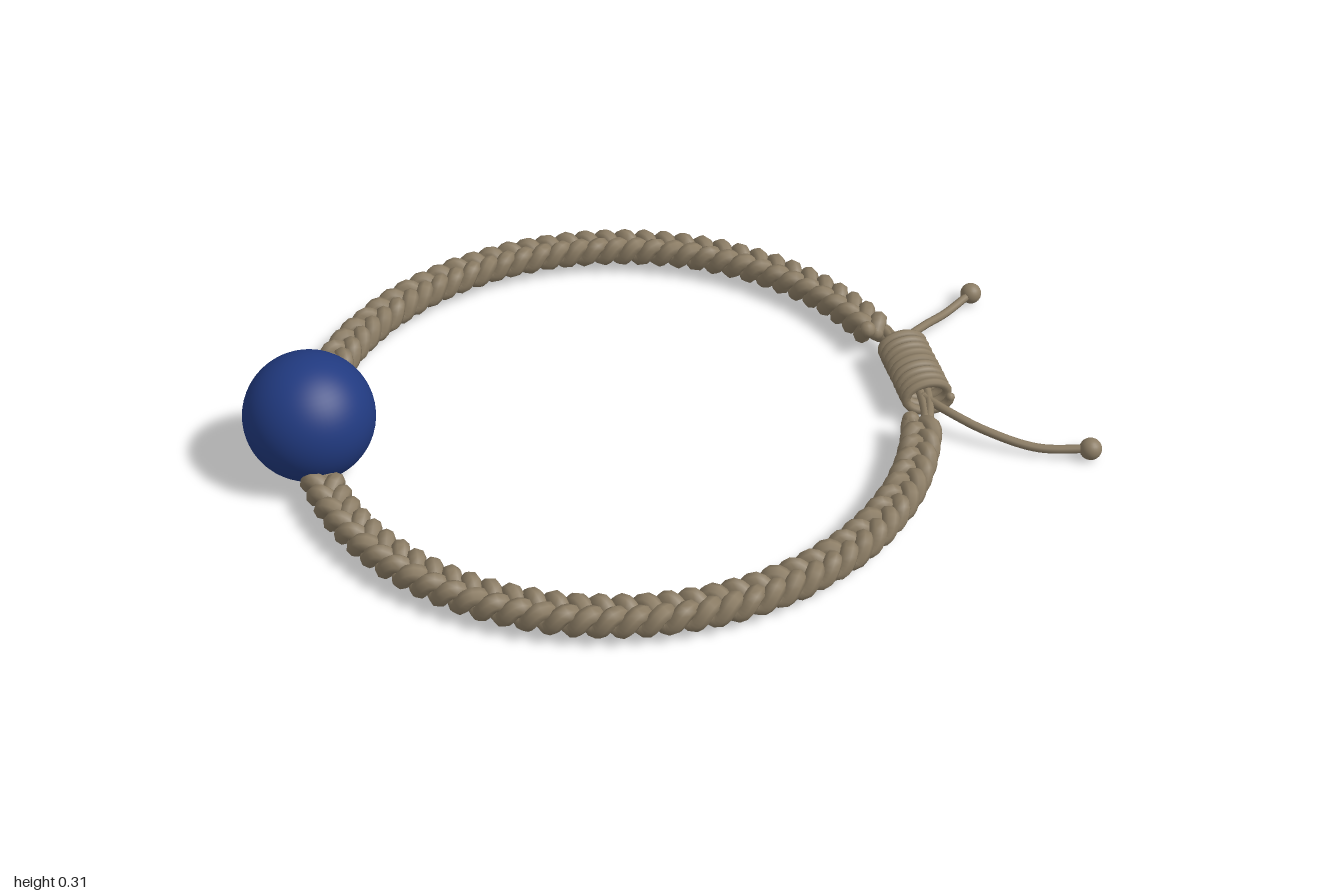
import * as THREE from 'three';

const RING = { x: -0.115, y: 0.06, z: -0.006, r: 0.73 };

// One strand of a flat three-strand braid, following half of the ring
class BraidStrand extends THREE.Curve {
  constructor(side, phase) {
    super();
    this.side = side;
    this.phase = phase;
    this.arcLengthDivisions = 1200;
  }
  getPoint(t, target = new THREE.Vector3()) {
    const a = THREE.MathUtils.lerp(0.275, Math.PI - 0.14, t);
    const w = t * 13 * Math.PI * 2 + this.phase;
    const r = RING.r + 0.029 * Math.sin(w);
    return target.set(
      RING.x + r * Math.cos(a),
      RING.y + 0.018 * Math.sin(2 * w),
      RING.z + this.side * r * Math.sin(a)
    );
  }
}

// Oval winding of the sliding knot
class KnotCoil extends THREE.Curve {
  getPoint(t, target = new THREE.Vector3()) {
    const a = t * 9 * Math.PI * 2;
    return target.set(0.633 + 0.054 * Math.cos(a), 0.066 + 0.036 * Math.sin(a), -0.13 + 0.235 * t);
  }
}

export function createModel() {
  const model = new THREE.Group();
  const cord = new THREE.MeshStandardMaterial({ color: 0x8c7d65 });
  cord.name = 'tan cord';
  const blue = new THREE.MeshStandardMaterial({ color: 0x213a80 });
  blue.name = 'deep blue';

  const add = (parent, name, geometry, material) => {
    const mesh = new THREE.Mesh(geometry, material);
    mesh.name = name;
    parent.add(mesh);
    return mesh;
  };
  const ball = (parent, name, p, r, material, seg = 16) =>
    add(parent, name, new THREE.SphereGeometry(r, seg * 2, seg), material).position.copy(p);

  // Tube with rounded ends
  const rope = (parent, name, curve, segments, r, sides = 8) => {
    add(parent, name, new THREE.TubeGeometry(curve, segments, r, sides), cord);
    for (const t of [0, 1]) ball(parent, name + 'End', curve.getPoint(t), r, cord, 6);
  };
  const path = (...pts) => new THREE.CatmullRomCurve3(pts.map(p => new THREE.Vector3(...p)));

  // Bead
  ball(model, 'bead', new THREE.Vector3(-0.845, 0.16, -0.01), 0.155, blue, 32);

  // Two braided halves, running from the knot to the bead
  for (const [side, name] of [[1, 'frontBraid'], [-1, 'backBraid']]) {
    const braid = new THREE.Group();
    braid.name = name;
    for (let i = 0; i < 3; i++) {
      rope(braid, 'strand', new BraidStrand(side, i * Math.PI * 2 / 3), 340, 0.0215);
    }
    model.add(braid);
  }

  // Sliding knot with two cords passing through it
  const knot = new THREE.Group();
  knot.name = 'slidingKnot';
  rope(knot, 'coil', new KnotCoil(), 260, 0.0115);
  rope(knot, 'innerCord', path([0.59, 0.06, 0.22], [0.615, 0.062, 0.13], [0.625, 0.066, 0], [0.622, 0.062, -0.14], [0.61, 0.06, -0.22]), 40, 0.011);
  rope(knot, 'outerCord', path([0.6, 0.055, 0.21], [0.63, 0.065, 0.12], [0.645, 0.066, 0], [0.63, 0.065, -0.14], [0.62, 0.055, -0.22]), 40, 0.011);
  model.add(knot);

  // Loose tails, each ending in a small round stopper
  const tails = [
    ['frontTail', [[0.625, 0.066, 0.09], [0.66, 0.065, 0.15], [0.74, 0.045, 0.225], [0.85, 0.024, 0.288], [0.97, 0.03, 0.325]]],
    ['backTail', [[0.625, 0.066, -0.1], [0.65, 0.065, -0.15], [0.72, 0.048, -0.222], [0.8, 0.03, -0.29], [0.89, 0.033, -0.36]]]
  ];
  for (const [name, pts] of tails) {
    const tail = new THREE.Group();
    tail.name = name;
    const curve = path(...pts);
    rope(tail, 'tailCord', curve, 40, 0.0105);
    ball(tail, 'stopper', curve.getPoint(1), 0.027, cord, 12);
    model.add(tail);
  }

  // Stand on the ground
  model.position.y = -0.004;
  return model;
}
